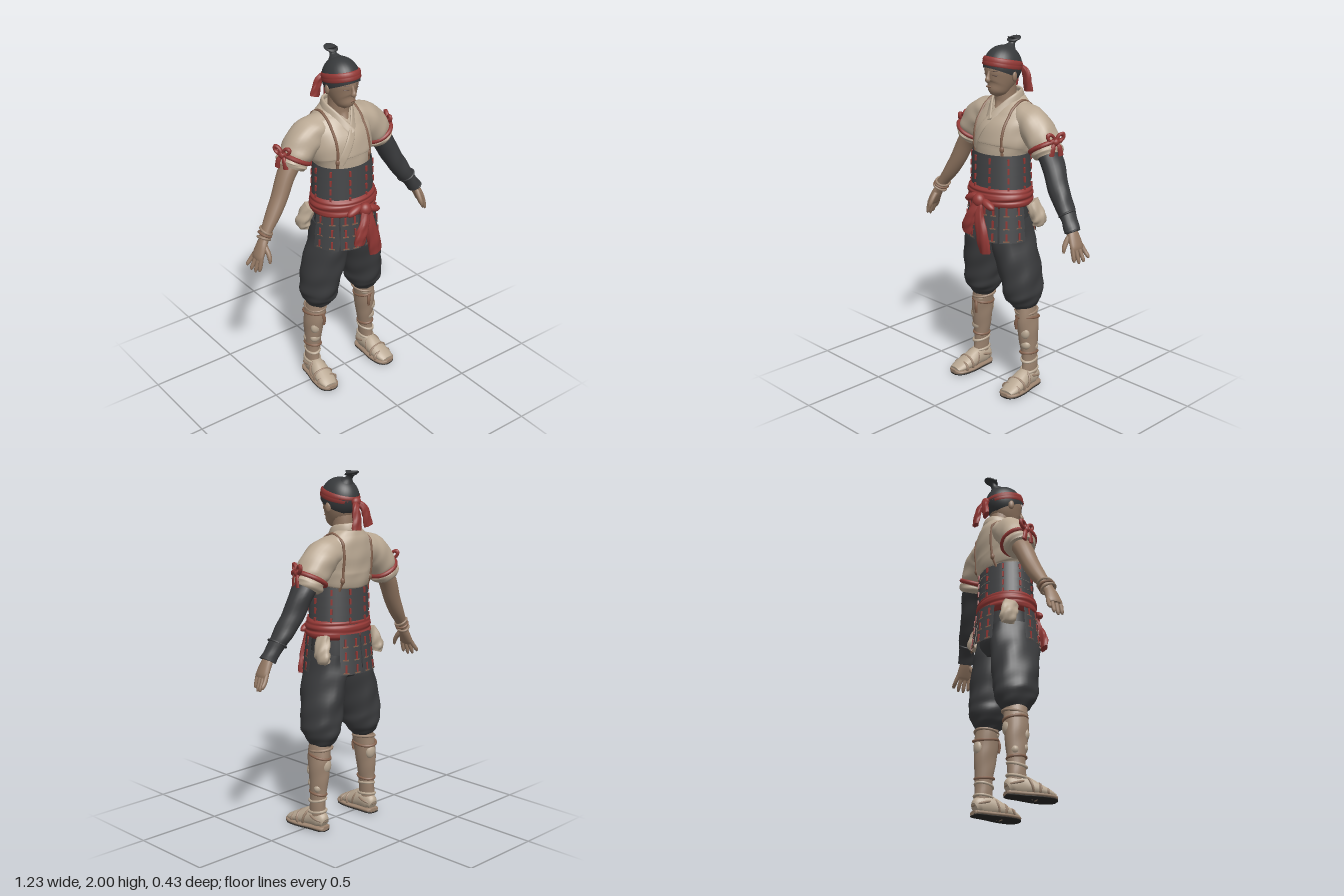
import * as THREE from 'three';

const mat = (name, color, side = THREE.FrontSide) => {
  const m = new THREE.MeshStandardMaterial({ color, side });
  m.name = name;
  return m;
};
const M = {
  skin: mat('skin', 0x937863), cream: mat('cream cloth', 0xb9a893), dark: mat('dark cloth', 0x3a3b3d),
  hair: mat('hair', 0x37393b), armour: mat('armour', 0x414244, THREE.DoubleSide), red: mat('red cloth', 0x933835),
  leather: mat('leather', 0x85634f), gaiter: mat('gaiter', 0x9b836f), sole: mat('sole', 0x2b2927),
  feature: mat('face detail', 0x665045),
};
const V = (x, y, z) => new THREE.Vector3(x, y, z);
const X = V(1, 0, 0), Y = V(0, 1, 0), Z = V(0, 0, 1);

export function createModel() {
  const root = new THREE.Group();
  root.name = 'warrior';
  const add = (name, geo, material, parent = root) => {
    const m = new THREE.Mesh(geo, material);
    m.name = name;
    parent.add(m);
    return m;
  };

  // Skin over elliptical sections: rows are [x, y, z, side radius, radius along out]
  function loft(name, rows, material, { out = Z, seg = 20, div = 5, fold = 0, k = 5, e = 1, parent = root } = {}) {
    const path = new THREE.CatmullRomCurve3(rows.map(r => V(r[0], r[1], r[2])), false, 'catmullrom');
    const radii = new THREE.CatmullRomCurve3(rows.map(r => V(r[3], r[4], 0)), false, 'catmullrom');
    const n = (rows.length - 1) * div, pos = [], idx = [];
    const pw = c => Math.sign(c) * Math.abs(c) ** e;
    const ring = i => {
      const p = path.getPoint(i / n), r = radii.getPoint(i / n), t = path.getTangent(i / n);
      const v = (typeof out === 'function' ? out(p) : out).clone();
      v.addScaledVector(t, -v.dot(t)).normalize();
      const u = t.clone().cross(v);
      for (let j = 0; j < seg; j++) {
        const a = j / seg * Math.PI * 2;
        const f = 1 + fold * (Math.sin(k * a + i * 0.45) + 0.6 * Math.sin(i * 1.1 + 2 * a));
        const q = p.clone().addScaledVector(u, r.x * f * pw(Math.cos(a))).addScaledVector(v, r.y * f * pw(Math.sin(a)));
        pos.push(q.x, q.y, q.z);
      }
      return p;
    };
    for (let i = 0; i <= n; i++) ring(i);
    for (let i = 0; i < n; i++) for (let j = 0; j < seg; j++) {
      const a = i * seg + j, b = i * seg + (j + 1) % seg;
      idx.push(a, a + seg, b, a + seg, b + seg, b);
    }
    for (const i of [0, n]) {
      const s = pos.length / 3, p = ring(i), c = pos.length / 3;
      pos.push(p.x, p.y, p.z);
      for (let j = 0; j < seg; j++) {
        const a = s + j, b = s + (j + 1) % seg;
        i ? idx.push(c, b, a) : idx.push(c, a, b);
      }
    }
    const g = new THREE.BufferGeometry();
    g.setAttribute('position', new THREE.Float32BufferAttribute(pos, 3));
    g.setIndex(idx);
    g.computeVertexNormals();
    return add(name, g, material, parent);
  }
  const blob = (name, p, r, material, parent = root) => {
    const m = add(name, new THREE.SphereGeometry(1, 20, 14), material, parent);
    m.position.set(...p);
    m.scale.set(...r);
    return m;
  };
  const hoop = (name, p, dir, rx, rz, tube, material) => {
    const m = add(name, new THREE.TorusGeometry(1, tube * 2 / (rx + rz), 8, 28), material);
    m.position.set(...p);
    m.quaternion.setFromUnitVectors(Z, dir.clone().normalize());
    m.scale.set(rx, rz, (rx + rz) / 2);
    return m;
  };
  const hit = (meshes, from, dir) => new THREE.Raycaster(from, dir).intersectObjects(meshes, false)[0]?.point ?? from;

  // Head, neck and face
  loft('neck', [[0, 1.59, -.02, .03, .055], [0, 1.65, -.052, .056, .06], [0, 1.72, -.055, .056, .062], [0, 1.78, -.05, .058, .06]], M.skin);
  const head = loft('head', [[0, 1.698, .032, .02, .025], [0, 1.715, .022, .043, .048], [0, 1.745, 0, .061, .077], [0, 1.79, -.02, .078, .097],
    [0, 1.84, -.03, .087, .103], [0, 1.885, -.032, .081, .097], [0, 1.925, -.032, .055, .065]], M.skin, { seg: 28 });
  loft('nose', [[0, 1.835, .068, .007, .006], [0, 1.805, .076, .009, .011], [0, 1.787, .08, .015, .015], [0, 1.776, .075, .011, .008]], M.skin);
  blob('lips', [0, 1.749, .074], [.02, .006, .005], M.leather);
  for (const s of [1, -1]) {
    blob('ear', [s * .091, 1.803, -.032], [.012, .028, .018], M.skin).rotation.y = s * .3;
    for (const [name, y, h] of [['eye', 1.813, .004], ['brow', 1.836, .003]]) {
      const p = hit([head], V(s * .036, y, 1), V(0, 0, -1));
      blob(name, [p.x, p.y, p.z], [.017, h, .003], M.feature).rotation.y = s * .45;
    }
  }
  const hair = new THREE.SphereGeometry(1, 32, 20, 0, Math.PI * 2, 0, 1.95).rotateX(-.42).scale(.097, .113, .115).translate(0, 1.848, -.032);
  add('hair', hair, M.hair);
  loft('topknot', [[0, 1.935, -.085, .04, .04], [0, 1.957, -.1, .02, .019], [0, 1.975, -.11, .019, .019], [0, 1.988, -.115, .032, .034]], M.hair);
  blob('topknotBrush', [0, 1.985, -.12], [.037, .012, .042], M.hair).rotation.x = .25;
  const bandGeo = new THREE.LatheGeometry([[.094, -.025], [.1, -.02], [.1, -.004], [.098, 0], [.101, .005], [.098, .02], [.09, .025]].map(p => new THREE.Vector2(...p)), 40);
  const headband = add('headband', bandGeo.scale(1, 1, 1.17).rotateX(-.22), M.red);
  headband.position.set(0, 1.864, -.032);
  blob('headbandKnot', [0, 1.835, -.155], [.03, .026, .022], M.red);
  loft('headbandTail', [[0, 1.835, -.155, .014, .012], [.028, 1.8, -.18, .024, .016], [.035, 1.74, -.192, .028, .016], [.04, 1.69, -.198, .032, .014]], M.red, { fold: .1 });
  loft('headbandTail', [[0, 1.835, -.155, .014, .012], [-.035, 1.805, -.175, .022, .016], [-.05, 1.76, -.18, .026, .016], [-.068, 1.705, -.182, .03, .014]], M.red, { fold: .1 });

  // Shirt, sleeves and crossed collar
  const shirt = loft('shirt', [[0, 1.2, -.025, .15, .12], [0, 1.37, -.028, .163, .136], [0, 1.42, -.035, .185, .146], [0, 1.49, -.047, .192, .143],
    [0, 1.56, -.07, .195, .122], [0, 1.62, -.085, .165, .1], [0, 1.66, -.088, .115, .082], [0, 1.69, -.085, .075, .063]], M.cream, { seg: 40, fold: .009, k: 9 });
  const cloth = [shirt];
  for (const s of [1, -1]) {
    cloth.push(loft('sleeve', [[s * .07, 1.585, -.08, .075, .08], [s * .14, 1.567, -.08, .087, .09], [s * .2, 1.535, -.08, .094, .096], [s * .257, 1.472, -.08, .09, .096],
      [s * .283, 1.435, -.08, .08, .088], [s * .294, 1.416, -.08, .086, .094], [s * .306, 1.395, -.078, .074, .08]], M.cream, { seg: 28, fold: .024 }));
  }
  const onChest = (x, y) => {
    const p = hit(cloth, V(x, y, 1), V(0, 0, -1));
    return [x, y, p.z + .001, .022, .007];
  };
  loft('collar', [onChest(-.095, 1.41), onChest(-.07, 1.46), onChest(-.03, 1.53), onChest(.015, 1.59), [.06, 1.652, -.012, .023, .008], [.079, 1.686, -.07, .024, .009],
    [.055, 1.697, -.13, .024, .009], [0, 1.7, -.15, .024, .009], [-.055, 1.697, -.13, .024, .009], [-.079, 1.686, -.07, .024, .009], [-.06, 1.652, -.012, .023, .008],
    onChest(-.025, 1.6), onChest(.0, 1.565)], M.cream, { out: p => V(p.x, .02, p.z + .07), e: .7 });

  // Shoulder cords over the shirt, front to back
  for (const s of [1, -1]) {
    const x = s * .105, ys = [1.36, 1.42, 1.48, 1.54, 1.59, 1.63], run = d => ys.map(y => hit(cloth, V(x, y, d), V(0, 0, -d)));
    const pts = [...run(1), hit(cloth, V(x, 3, -.08), V(0, -1, 0)), ...run(-1).reverse()];
    loft('shoulderCord', pts.map(p => [p.x, p.y, p.z, .008, .008]), M.leather, { out: X, seg: 8 });
    for (const d of [1, -1]) {
      const p = hit(cloth, V(x, 1.42, d), V(0, 0, -d));
      blob('cordKnot', [p.x, p.y, p.z], [.013, .02, .012], M.leather);
    }
  }

  // Arms, hands and sleeve ties
  for (const s of [1, -1]) {
    const arm = (g, end) => [[.27, 1.45, -.08, .055, .058], [.335, 1.36, -.076, .049, .056], [.39, 1.25, -.062, .045, .05], [.443, 1.165, -.05, .04, .045],
      [.497, 1.09, -.037, .029, .035], end].map(r => [s * r[0], r[1], r[2], r[3] + g, r[4] + g]);
    loft('arm', arm(0, [.53, 1.03, -.028, .024, .033]), M.skin);
    if (s > 0) {
      loft('armSleeve', arm(.011, [.532, 1.035, -.028, .03, .036]), M.dark, { fold: .035, k: 3 });
      hoop('sleeveBinding', [.477, 1.118, -.042], V(.55, -.8, 0), .044, .05, .006, M.dark);
      hoop('sleeveBinding', [.532, 1.037, -.028], V(.45, -.9, 0), .034, .04, .006, M.dark);
    } else {
      [0, 1, 2].forEach(i => hoop('wristCord', [-.5 - i * .011, 1.088 - i * .018, -.037 + i * .003], V(-.5, -.85, i * .2 - .2), .036 - i * .001, .04, .007, i === 1 ? M.leather : M.gaiter));
    }
    const hand = new THREE.Group();
    hand.name = 'hand';
    root.add(hand);
    const digit = rows => loft('finger', rows.map(r => [s * r[0], ...r.slice(1)]), M.skin, { seg: 10, div: 3, parent: hand });
    loft('palm', [[s * .525, 1.045, -.028, .023, .031], [s * .543, 1.01, -.024, .024, .039], [s * .566, .965, -.022, .021, .045], [s * .574, .945, -.022, .016, .042]], M.skin, { parent: hand });
    for (let i = 0; i < 4; i++) {
      const z = .012 - i * .023, l = [.065, .077, .072, .054][i], spread = .004 * (1 - i);
      digit([[.566, .965, z, .012, .012], [.58 - spread, .95 - l * .4, z * 1.15, .012, .0115], [.59 - spread * 2, .95 - l * .8, z * 1.2, .0105, .01], [.594 - spread * 2, .95 - l, z * 1.2, .005, .005]]);
    }
    digit([[.532, 1.015, -.005, .015, .017], [.53, .985, .022, .014, .014], [.532, .955, .039, .012, .012], [.535, .932, .044, .006, .006]]);

    hoop('sleeveTie', [s * .277, 1.443, -.08], V(s * .5, -.86, 0), .086, .093, .013, M.red);
    const bow = new THREE.Group();
    bow.name = 'sleeveBow';
    bow.position.set(s * .352, 1.483, -.075);
    bow.rotation.set(0, s * 1.2, 0);
    bow.scale.setScalar(1.15);
    root.add(bow);
    blob('bowKnot', [0, 0, .004], [.019, .019, .018], M.red, bow);
    for (const d of [1, -1]) {
      const loop = add('bowLoop', new THREE.TorusGeometry(.018, .01, 8, 16), M.red, bow);
      loop.position.set(d * .024, .02, .006);
      loop.rotation.z = d * .8;
      loop.scale.set(1.1, .75, 1);
      loft('bowTail', [[0, 0, 0, .009, .008], [d * .016, -.025, .014, .012, .008], [d * .024, -.065, .014, .014, .007]], M.red, { seg: 10, parent: bow });
    }
  }

  // Overlapping armour rows on an elliptical body, with lacing
  function lames(name, a0, a1, y0, y1, rows, r0, r1, laces) {
    const h = (y0 - y1) / rows;
    for (let i = 0; i < rows; i++) {
      const t = [0, 1].map(j => r0.map((r, c) => r + (r1[c] - r) * (i + j) / rows));
      const [rx, rz] = t[0], y = y0 - h * (i + .5), full = a1 - a0 > 6;
      const g = new THREE.CylinderGeometry(rx, t[1][0] + .007, h * 1.08, full ? 48 : 10, 1, true, a0, a1 - a0);
      const m = add(name, g, M.armour);
      m.scale.z = rz / rx;
      m.position.set(0, y, -.022);
      for (let j = 0; j < laces; j++) {
        const a = a0 + (a1 - a0) * (j + .5) / laces, nrm = Math.atan2(Math.sin(a) / rx, Math.cos(a) / rz);
        const lace = (w, hh, mm, dy) => {
          const b = add('lacing', new THREE.BoxGeometry(w, hh, .009), mm);
          b.position.set(Math.sin(a) * (rx + .007), y + dy, -.022 + Math.cos(a) * (rz + .007));
          b.rotation.y = nrm;
        };
        lace(.011, h * .6, M.red, -h * .1);
        if (!full) lace(.034, .008, M.leather, -h * .42);
      }
    }
  }
  lames('corset', 0, Math.PI * 2, 1.385, 1.175, 4, [.17, .143], [.177, .147], 10);
  const deg = Math.PI / 180;
  for (const [a, b] of [[4, 36], [39, 84], [141, 179], [181, 219], [276, 321], [324, 356]])
    lames('hipPanel', a * deg, b * deg, 1.12, .905, 3, [.188, .163], [.207, .187], 2);

  // Waist sash with front knot and hanging ends
  loft('sash', [[1.09, .178], [1.105, .196], [1.122, .199], [1.133, .194], [1.148, .2], [1.163, .198], [1.172, .192], [1.186, .193], [1.2, .176]]
    .map(([y, r]) => [0, y, -.017, r, r * .83]), M.red, { seg: 48, div: 3, fold: .008, k: 3 });
  blob('sashKnot', [.015, 1.135, .165], [.038, .04, .034], M.red);
  for (const [x, y, a] of [[.075, 1.12, -.4], [-.05, 1.14, .4]]) blob('sashLoop', [x, y, .155], [.052, .022, .024], M.red).rotation.z = a;
  loft('sashTail', [[.015, 1.125, .17, .028, .018], [.04, 1.03, .186, .034, .019], [.065, .93, .184, .042, .022], [.08, .845, .177, .038, .018]], M.red, { fold: .1 });
  loft('sashTail', [[.01, 1.125, .175, .026, .018], [-.012, 1.06, .193, .03, .02], [-.035, 1, .198, .036, .02], [-.05, .945, .195, .034, .016]], M.red, { fold: .1 });

  // Trousers, gaiters and sandals
  loft('hips', [[0, 1.12, -.02, .155, .13], [0, 1, -.02, .17, .14], [0, .92, -.02, .172, .14], [0, .865, -.02, .12, .1]], M.dark, { seg: 32 });
  for (const s of [1, -1]) {
    const side = rows => rows.map(r => [s * r[0], ...r.slice(1)]);
    loft('hipCloth', side([[.18, 1.11, -.08, .025, .045], [.203, 1.05, -.1, .034, .046], [.21, 1.005, -.11, .036, .046], [.2, .975, -.11, .024, .036]]), M.cream, { fold: .09 });
    loft('trouserLeg', side([[.085, 1, -.02, .09, .13], [.106, .88, -.02, .1, .142], [.135, .75, -.028, .109, .134], [.153, .64, -.037, .106, .127],
      [.16, .57, -.044, .102, .118], [.165, .52, -.046, .078, .092], [.167, .485, -.046, .052, .06]]), M.dark, { seg: 32, fold: .03, k: 5 });
    loft('gaiter', side([[.17, .51, -.046, .056, .063], [.184, .4, -.05, .056, .069], [.19, .3, -.055, .05, .061], [.196, .2, -.056, .04, .05],
      [.2, .12, -.055, .038, .052], [.2, .07, -.05, .038, .052]]), M.gaiter, { seg: 24, fold: .025, k: 3 });
    for (const [x, y, rx, rz, tilt, m] of [[.172, .47, .058, .066, .1, 'gaiter'], [.181, .43, .056, .068, -.15, 'leather'],
      [.195, .215, .041, .052, -.1, 'leather'], [.198, .175, .039, .051, .15, 'cream'], [.2, .11, .041, .054, .1, 'cream']])
      hoop('gaiterWrap', [s * x, y, -.054], V(s * tilt, 1, tilt), rx, rz, .008, M[m]);
    for (const [x, y, z, ry] of [[.2, .345, -.012, .04], [.178, .38, -.1, .045], [.207, .25, -.075, .03], [.2, .27, -.02, .03], [.165, .46, -.01, .025]])
      blob('gaiterPatch', [s * x, y, z], [.034, ry, .025], M.cream);
    loft('gaiterTie', side([[.172, .44, .014, .012, .009], [.163, .405, .022, .011, .008], [.165, .365, .018, .008, .006]]), M.leather, { seg: 10 });
    loft('foot', side([[.196, .045, -.11, .028, .03], [.198, .06, -.08, .041, .052], [.2, .066, -.02, .046, .058], [.205, .05, .05, .055, .042],
      [.211, .036, .11, .053, .028], [.214, .028, .15, .038, .014]]), M.cream, { out: Y });
    for (const [name, y, h, g, m] of [['sandal', .017, .011, .002, M.gaiter], ['sandalSole', .005, .005, 0, M.sole]])
      loft(name, side([[.195, y, -.12, .026, h], [.197, y, -.1, .042, h], [.2, y, -.03, .05, h], [.205, y, .05, .063, h], [.21, y, .12, .06, h], [.213, y, .153, .042, h], [.214, y, .164, .022, h]]
        .map(r => [r[0], r[1], r[2], r[3] + g, r[4]])), m, { out: Y, e: .6 });
    for (const [z, y, rx, ry, t] of [[.01, .058, .052, .058, .35], [.055, .045, .058, .045, -.1], [.1, .036, .057, .033, .1]])
      hoop('sandalStrap', [s * .206, y, z], V(s * .1, t, 1), rx, ry - .003, .007, M.gaiter);
    hoop('heelStrap', [s * .199, .075, -.06], V(0, 1, -.3), .043, .056, .007, M.gaiter);
  }
  return root;
}
